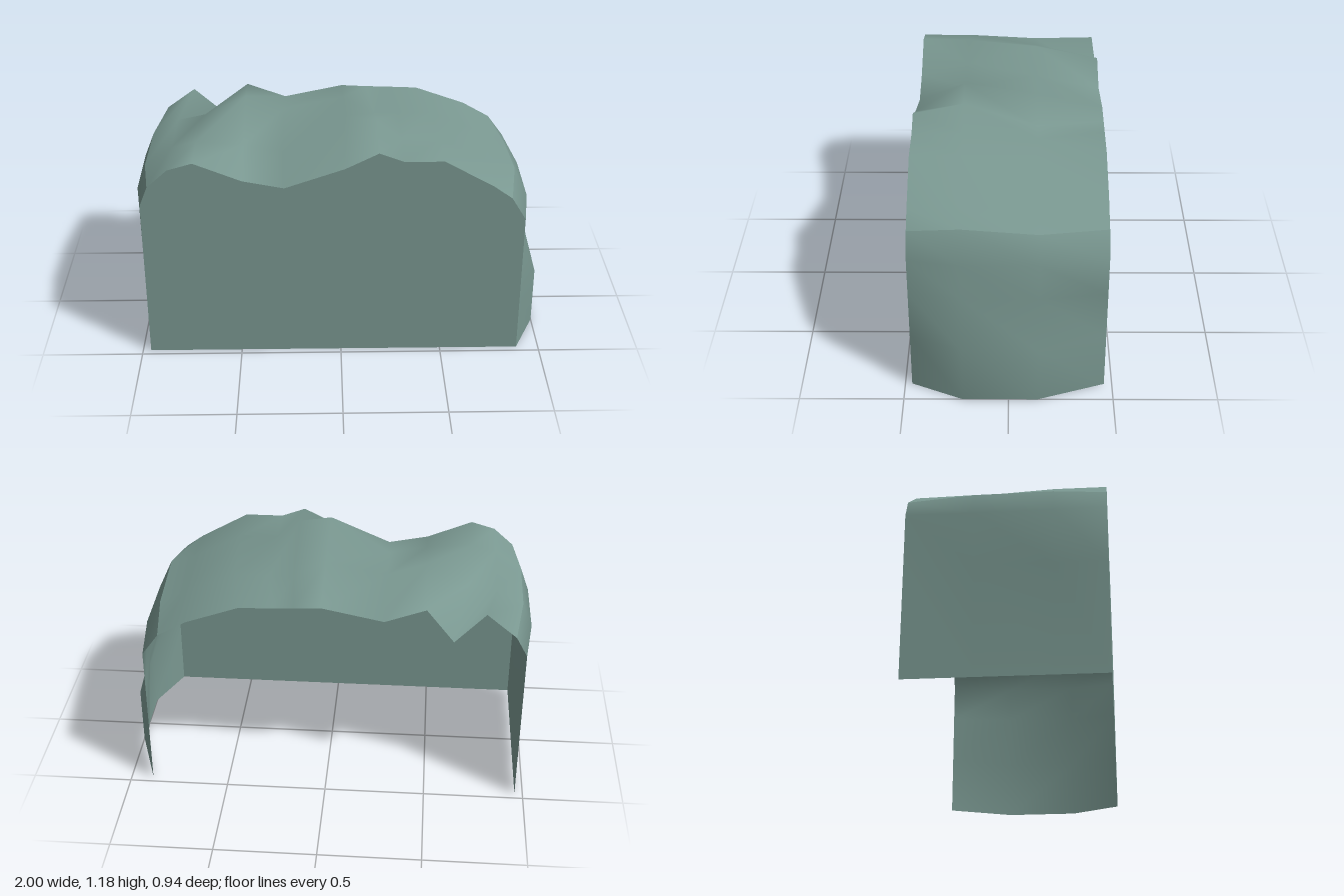
import * as THREE from 'three';

// Cross-sections from front to back; each runs from the +x foot over the crest to the -x foot.
const sections = [
  { z: 0.467, points: [
    [0.89, 0], [0.89, 0.3], [0.89, 0.55], [0.89, 0.74], [0.82, 0.855],
    [0.73, 0.92], [0.49, 1.055], [0.3, 1.055], [0.18, 1.1], [0.02, 1.02], [-0.27, 0.92],
    [-0.47, 0.96], [-0.7, 1.055], [-0.82, 1.02], [-0.92, 0.93],
    [-0.96, 0.83], [-0.96, 0.55], [-0.96, 0]] },
  { z: 0.22, points: [
    [1, 0], [1, 0.3], [0.93, 0.55], [0.93, 0.74], [0.86, 0.893],
    [0.74, 0.925], [0.49, 1.055], [0.3, 1.06], [0.18, 1.155], [0.02, 1.18], [-0.28, 0.99],
    [-0.47, 1.03], [-0.7, 1.05], [-0.82, 1.02], [-0.955, 0.925],
    [-1, 0.8], [-0.96, 0.55], [-0.96, 0]] },
  { z: -0.14, points: [
    [1, 0], [1, 0.3], [0.93, 0.55], [0.93, 0.74], [0.855, 0.86],
    [0.73, 0.92], [0.47, 1.03], [0.3, 1.03], [0.18, 1.03], [0.02, 1.12], [-0.28, 1.06],
    [-0.47, 1.13], [-0.68, 1.03], [-0.82, 1.0], [-0.95, 0.925],
    [-1, 0.8], [-0.96, 0.55], [-0.96, 0]] },
  { z: -0.462, points: [
    [0.89, 0], [0.89, 0.3], [0.89, 0.55], [0.89, 0.75], [0.81, 0.86],
    [0.67, 0.94], [0.416, 1.03], [0.246, 1.037], [0.15, 1.04], [0.02, 1.047], [-0.28, 0.985],
    [-0.478, 1.058], [-0.612, 0.893, -0.47], [-0.76, 1.037, -0.447], [-0.905, 0.926],
    [-0.96, 0.825], [-0.96, 0.55], [-0.96, 0]] },
];

// Smooth sheet lofted through points first..last of every section.
function loft(first, last) {
  const n = last - first + 1;
  const positions = [];
  const index = [];
  for (const { z, points } of sections) {
    for (const [x, y, ownZ = z] of points.slice(first, last + 1)) positions.push(x, y, ownZ);
  }
  for (let r = 0; r < sections.length - 1; r++) {
    for (let i = 0; i < n - 1; i++) {
      const a = r * n + i;
      const b = a + n;
      index.push(a, b, a + 1, a + 1, b, b + 1);
    }
  }
  const geometry = new THREE.BufferGeometry();
  geometry.setAttribute('position', new THREE.Float32BufferAttribute(positions, 3));
  geometry.setIndex(index);
  geometry.computeVertexNormals();
  return geometry;
}

export function createModel() {
  const group = new THREE.Group();
  group.name = 'rockShell';
  const stone = new THREE.MeshStandardMaterial({ color: 0x7a9891, side: THREE.DoubleSide });
  stone.name = 'grey green stone';

  const add = (name, geometry) => {
    const mesh = new THREE.Mesh(geometry, stone);
    mesh.name = name;
    group.add(mesh);
    return mesh;
  };

  // Side walls and uneven top, meeting at sharp edges; back and underside stay open
  add('leftWall', loft(0, 4));
  add('unevenTop', loft(4, 14));
  add('rightWall', loft(14, 17));

  // Flat front face closing the first section
  const outline = new THREE.Shape(sections[0].points.map(([x, y]) => new THREE.Vector2(x, y)));
  add('frontFace', new THREE.ShapeGeometry(outline)).position.z = sections[0].z;

  return group;
}
